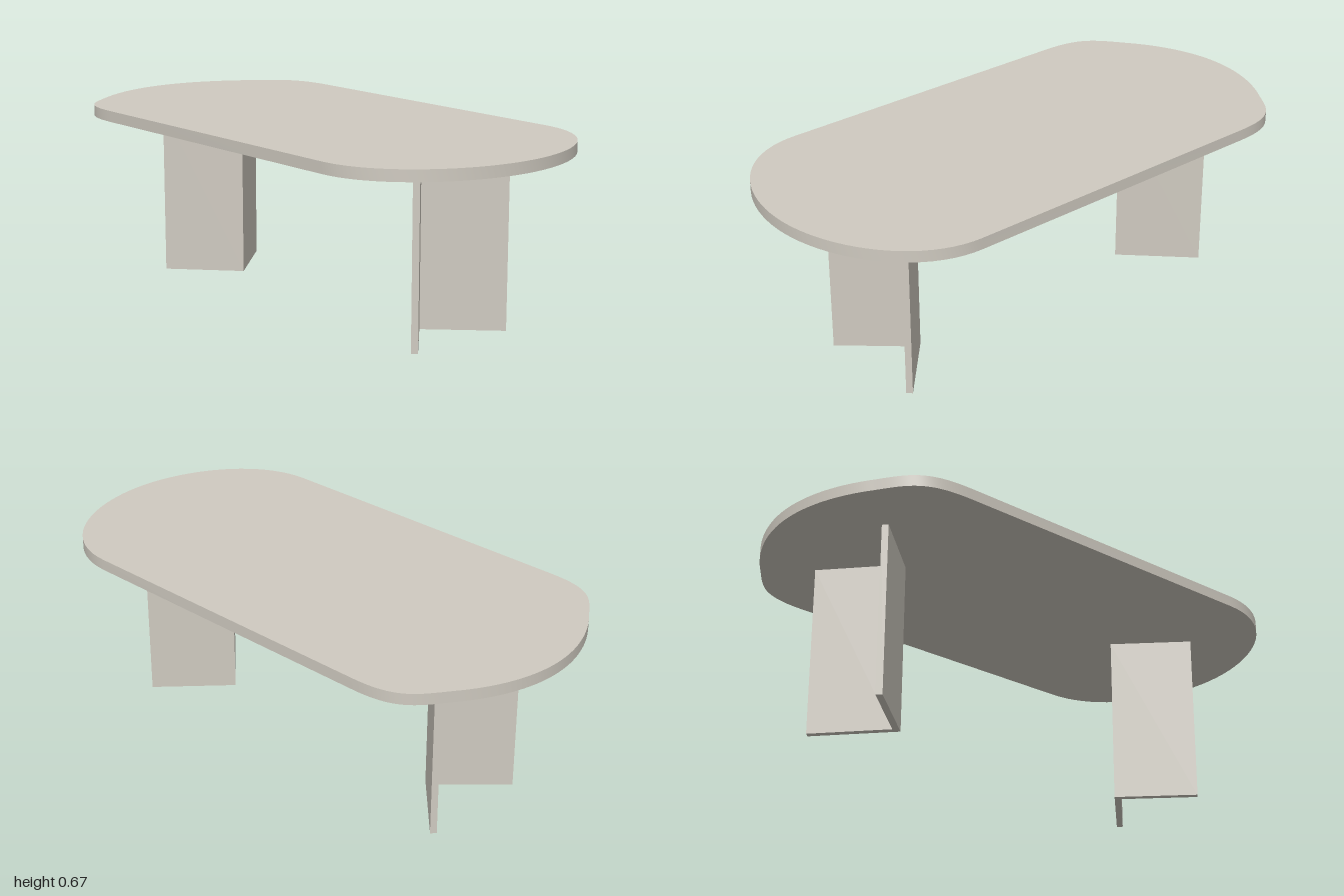
import * as THREE from 'three';
import { toCreasedNormals } from 'three/addons/utils/BufferGeometryUtils.js';

const TOP_Y = 0.665;   // upper face of the slab
const LEG_Y = 0.625;   // underside of the slab

// Extrude a plan outline (x, z) downwards from yTop to yBottom.
function slab(shape, yTop, yBottom, curveSegments = 1) {
  const geometry = new THREE.ExtrudeGeometry(shape, {
    depth: yTop - yBottom, bevelEnabled: false, curveSegments,
  });
  geometry.rotateX(Math.PI / 2);
  geometry.translate(0, yTop, 0);
  return toCreasedNormals(geometry, Math.PI / 6);
}

// Rounded oblong outline; the left-hand end (-x) is slightly more pointed.
function topOutline() {
  const s = new THREE.Shape();
  s.moveTo(-0.6, -0.507);
  s.lineTo(0.6, -0.503);
  s.bezierCurveTo(0.84, -0.503, 1, -0.25, 1, 0);
  s.bezierCurveTo(1, 0.25, 0.84, 0.503, 0.6, 0.503);
  s.lineTo(-0.6, 0.503);
  s.bezierCurveTo(-0.78, 0.503, -0.81, 0.445, -0.88, 0.345);
  s.bezierCurveTo(-0.95, 0.25, -1, 0.13, -1, 0);
  s.bezierCurveTo(-1, -0.13, -0.95, -0.25, -0.88, -0.345);
  s.bezierCurveTo(-0.81, -0.445, -0.78, -0.507, -0.6, -0.507);
  return s;
}

// V-shaped leg plan: the point faces the middle, the arms open outwards.
function legOutline(side) {
  const centre = -0.012;
  const points = [
    [0.482, -0.009], [0.702, 0.2], [0.718, 0.183],
    [0.515, -0.01], [0.718, -0.224], [0.702, -0.24],
  ];
  return new THREE.Shape(points.map(([x, z]) => new THREE.Vector2(centre + side * x, z)));
}

export function createModel() {
  const model = new THREE.Group();
  model.name = 'table';

  const stone = new THREE.MeshStandardMaterial({ color: 0xcfcac0 });
  stone.name = 'warm grey stone';

  const top = new THREE.Mesh(slab(topOutline(), TOP_Y, LEG_Y, 20), stone);
  top.name = 'tableTop';
  model.add(top);

  // Mirrored pair of folded legs
  for (const [name, side] of [['leftLeg', 1], ['rightLeg', -1]]) {
    const leg = new THREE.Mesh(slab(legOutline(side), LEG_Y, 0), stone);
    leg.name = name;
    model.add(leg);
  }
  return model;
}
